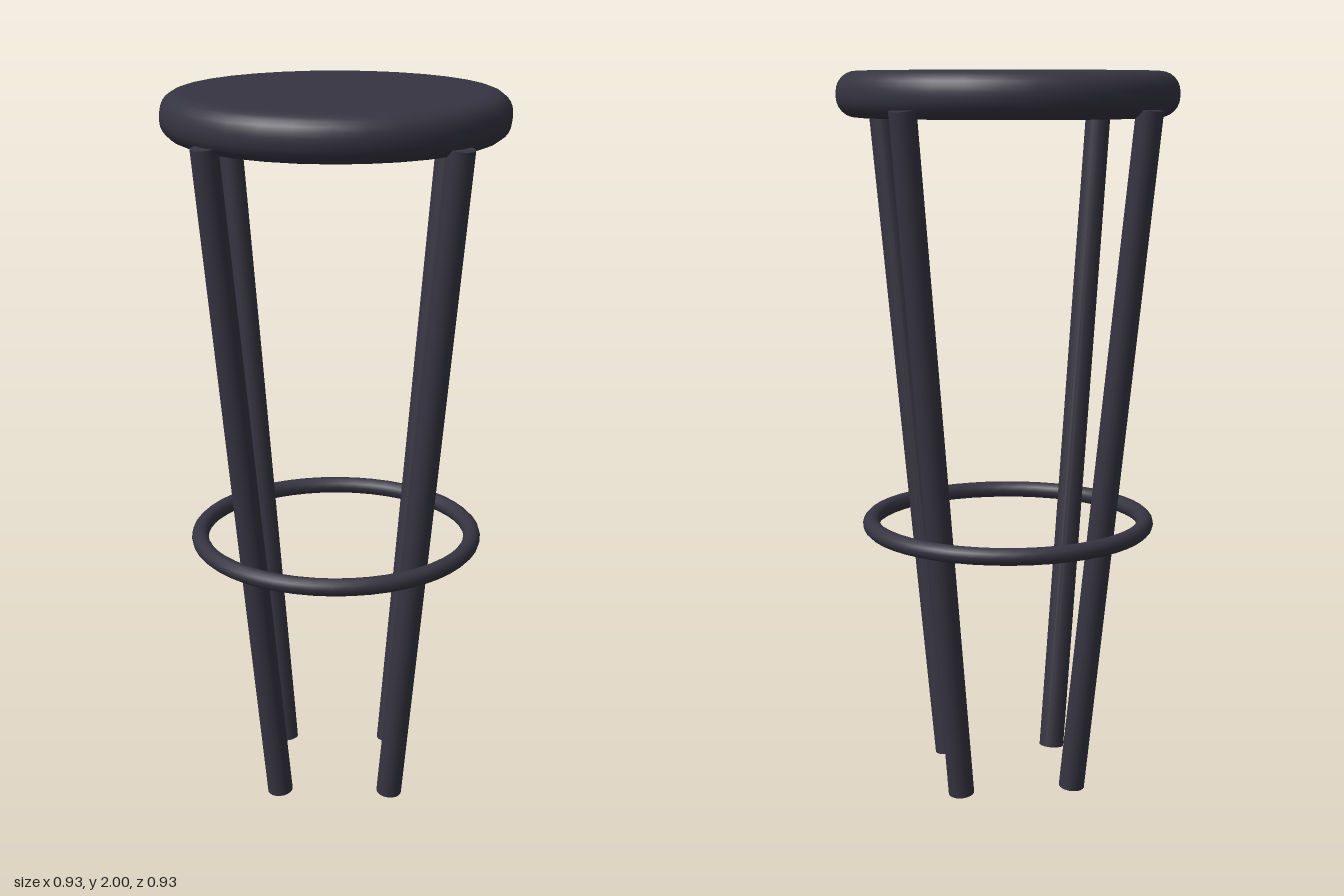
import * as THREE from 'three';

export function createModel() {
  const stool = new THREE.Group();
  stool.name = 'barStool';
  const darkPaint = new THREE.MeshStandardMaterial({ color: 0x353441 });
  darkPaint.name = 'darkPaint';

  const add = (name, geometry) => {
    const mesh = new THREE.Mesh(geometry, darkPaint);
    mesh.name = name;
    stool.add(mesh);
    return mesh;
  };

  // Round seat: flat disc with a rounded rim
  const radius = 0.465, bottom = 1.877, top = 2, round = 0.055;
  const profile = [new THREE.Vector2(0, bottom), new THREE.Vector2(radius - round - 0.003, bottom)];
  for (const [centreY, start] of [[bottom + round, -Math.PI / 2], [top - round, 0]]) {
    for (let i = 0; i <= 6; i++) {
      const a = start + (i / 6) * (Math.PI / 2);
      profile.push(new THREE.Vector2(radius - round + round * Math.cos(a), centreY + round * Math.sin(a)));
    }
  }
  profile.push(new THREE.Vector2(radius - round - 0.003, top), new THREE.Vector2(0, top));
  add('seat', new THREE.LatheGeometry(profile, 32));

  // Four straight legs leaning outwards towards the seat
  const up = new THREE.Vector3(0, 1, 0);
  for (const [sx, side] of [[1, 'Left'], [-1, 'Right']]) {
    for (const [sz, end] of [[1, 'front'], [-1, 'back']]) {
      const foot = new THREE.Vector3(sx * 0.158, 0.004, sz * 0.158);
      const head = new THREE.Vector3(sx * 0.318, 1.9, sz * 0.318);
      const axis = head.clone().sub(foot);
      const leg = add(`${end}${side}Leg`, new THREE.CylinderGeometry(0.036, 0.036, axis.length(), 20));
      leg.position.copy(foot).add(head).multiplyScalar(0.5);
      leg.quaternion.setFromUnitVectors(up, axis.normalize());
    }
  }

  // Footrest ring around the legs
  const ring = add('footrestRing', new THREE.TorusGeometry(0.387, 0.024, 12, 48));
  ring.rotation.x = Math.PI / 2;
  ring.position.y = 0.75;

  return stool;
}
